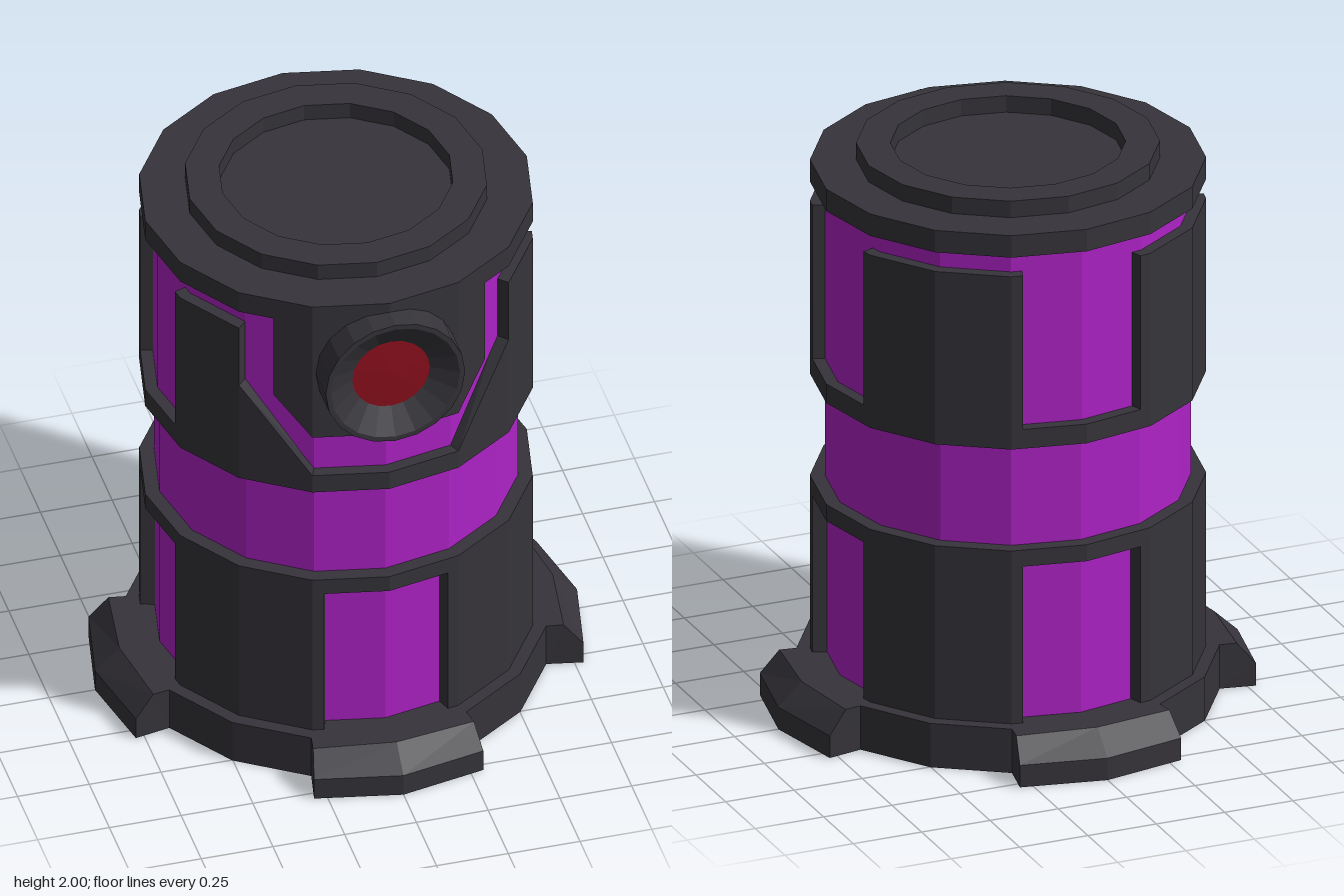
import * as THREE from 'three';

const SIDES = 16;
const STEP = (Math.PI * 2) / SIDES;
const DEG = Math.PI / 180;
const R_OUT = 0.665; // raised dark surfaces
const R_IN = 0.615; // recessed coloured surfaces

const paint = (color) => new THREE.MeshStandardMaterial({ color, flatShading: true, side: THREE.DoubleSide });

// Point on the 16-sided prism of circumradius R, angle measured from +z towards +x
function onPrism(R, deg, y) {
  const a = deg * DEG;
  const local = a - (Math.floor(a / STEP + 1e-6) + 0.5) * STEP;
  const r = (R * Math.cos(STEP / 2)) / Math.cos(local);
  return [r * Math.sin(a), y, r * Math.cos(a)];
}

// Solid skinned over closed cross-sections, with end caps
function loft(sections) {
  const pos = [];
  const tri = (a, b, c) => pos.push(...a, ...b, ...c);
  const n = sections[0].length;
  for (let k = 0; k < sections.length - 1; k++) {
    const s = sections[k], t = sections[k + 1];
    for (let i = 0; i < n; i++) {
      const j = (i + 1) % n;
      tri(s[i], t[i], t[j]);
      tri(s[i], t[j], s[j]);
    }
  }
  const first = sections[0], last = sections[sections.length - 1];
  for (let i = 1; i < n - 1; i++) {
    tri(first[0], first[i], first[i + 1]);
    tri(last[0], last[i + 1], last[i]);
  }
  const g = new THREE.BufferGeometry();
  g.setAttribute('position', new THREE.Float32BufferAttribute(pos, 3));
  g.computeVertexNormals();
  return g;
}

// Curved plate; each column is [angle, bottom, top]
function plate(columns) {
  return loft(columns.map(([deg, y0, y1]) => [
    onPrism(R_IN, deg, y0), onPrism(R_OUT, deg, y0), onPrism(R_OUT, deg, y1), onPrism(R_IN, deg, y1),
  ]));
}

const mirrored = (columns) => columns.map(([d, a, b]) => [-d, a, b]).reverse();

function lathe(points, sides = SIDES) {
  return new THREE.LatheGeometry(points.map(([x, y]) => new THREE.Vector2(x, y)), sides);
}

const ring = (r0, r1, y0, y1) => lathe([[r0, y0], [r1, y0], [r1, y1], [r0, y1], [r0, y0]]);

export function createModel() {
  const model = new THREE.Group();
  const dark = paint(0x36343a);
  const purple = paint(0xae22c6);
  const red = paint(0x8c0f1c);

  const add = (name, geometry, material, turn = 0) => {
    const mesh = new THREE.Mesh(geometry, material);
    mesh.name = name;
    mesh.rotation.y = turn;
    model.add(mesh);
    return mesh;
  };

  // Base ring and its four chamfered feet
  add('baseRing', ring(R_IN, 0.71, 0, 0.16), dark);
  const side = (s) => [
    [s * 0.27, 0, 0.655], [s * 0.295, 0, 0.78], [s * 0.295, 0.08, 0.78], [s * 0.28, 0.16, 0.715], [s * 0.27, 0.16, 0.655],
  ];
  const middle = [[0, 0, 0.7], [0, 0, 0.84], [0, 0.08, 0.84], [0, 0.16, 0.755], [0, 0.16, 0.7]];
  const foot = loft([side(-1), middle, side(1)]);

  // Lower wall: dark plates on the diagonals, inset panels on the axes
  const edge = 19.1;
  const corner = (y0, y1) => [edge, 22.5, 45, 67.5, 90 - edge].map((d) => [d, y0, y1]);
  const lowerPlate = plate(corner(0.16, 0.73));
  const inset = [];
  const arc = [-edge, 0, edge];
  for (let i = 0; i < 2; i++) {
    const [a, b] = [arc[i], arc[i + 1]];
    const p = onPrism(R_IN, a, 0.16), q = onPrism(R_IN, b, 0.16);
    const u = onPrism(R_IN, b, 0.73), v = onPrism(R_IN, a, 0.73);
    inset.push(...p, ...q, ...u, ...p, ...u, ...v);
  }
  const insetPanel = new THREE.BufferGeometry();
  insetPanel.setAttribute('position', new THREE.Float32BufferAttribute(inset, 3));
  insetPanel.computeVertexNormals();

  for (let i = 0; i < 4; i++) {
    const turn = (i * Math.PI) / 2;
    add('foot', foot, dark, turn);
    add('lowerPlate', lowerPlate, dark, turn);
    add('lowerInsetPanel', insetPanel, purple, turn);
  }

  // Coloured bands between the rims
  add('middleBand', lathe([[R_IN, 0.79], [R_IN, 1.16]]), purple);
  add('upperBand', lathe([[0.622, 1.23], [0.622, 1.86]]), purple);
  add('lowerRim', ring(0.6, R_OUT, 0.73, 0.79), dark);
  add('middleRim', ring(0.6, R_OUT, 1.16, 1.23), dark);

  // Upper plates: two plain at the back, two cut away around the eye
  const upperPlate = plate(corner(1.23, 1.79));
  add('backPlateLeft', upperPlate, dark, Math.PI / 2);
  add('backPlateRight', upperPlate, dark, Math.PI);
  const cutaway = [
    [22.5, 1.23, 1.23], [45, 1.23, 1.55], [45, 1.23, 1.79], [67.5, 1.23, 1.79], [90 - edge, 1.23, 1.79],
  ];
  add('frontPlateLeft', plate(cutaway), dark);
  add('frontPlateRight', plate(mirrored(cutaway)), dark);

  // Plate that carries the eye
  const half = [[22.5, 1.39, 1.86], [34.4, 1.54, 1.86]];
  add('eyePlate', plate([...mirrored(half), [0, 1.39, 1.86], ...half]), dark);

  // Eye: round housing with a sloped recess and a red lens
  const eye = new THREE.Group();
  eye.name = 'eye';
  eye.position.set(0, 1.66, 0);
  eye.rotation.x = Math.PI / 2;
  const housing = new THREE.Mesh(lathe([[0.243, 0.6], [0.243, 0.74], [0.225, 0.74], [0.135, 0.685]], 20), dark);
  housing.name = 'eyeHousing';
  const lens = new THREE.Mesh(lathe([[0.135, 0.685], [0, 0.69]], 20), red);
  lens.name = 'eyeLens';
  eye.add(housing, lens);
  model.add(eye);

  // Lid with a raised collar and a sunken centre
  add('lid', lathe([
    [0.6, 1.86], [R_OUT, 1.86], [R_OUT, 1.94], [0.51, 1.94], [0.51, 2], [0.395, 2], [0.395, 1.94], [0, 1.94],
  ]), dark);

  return model;
}
